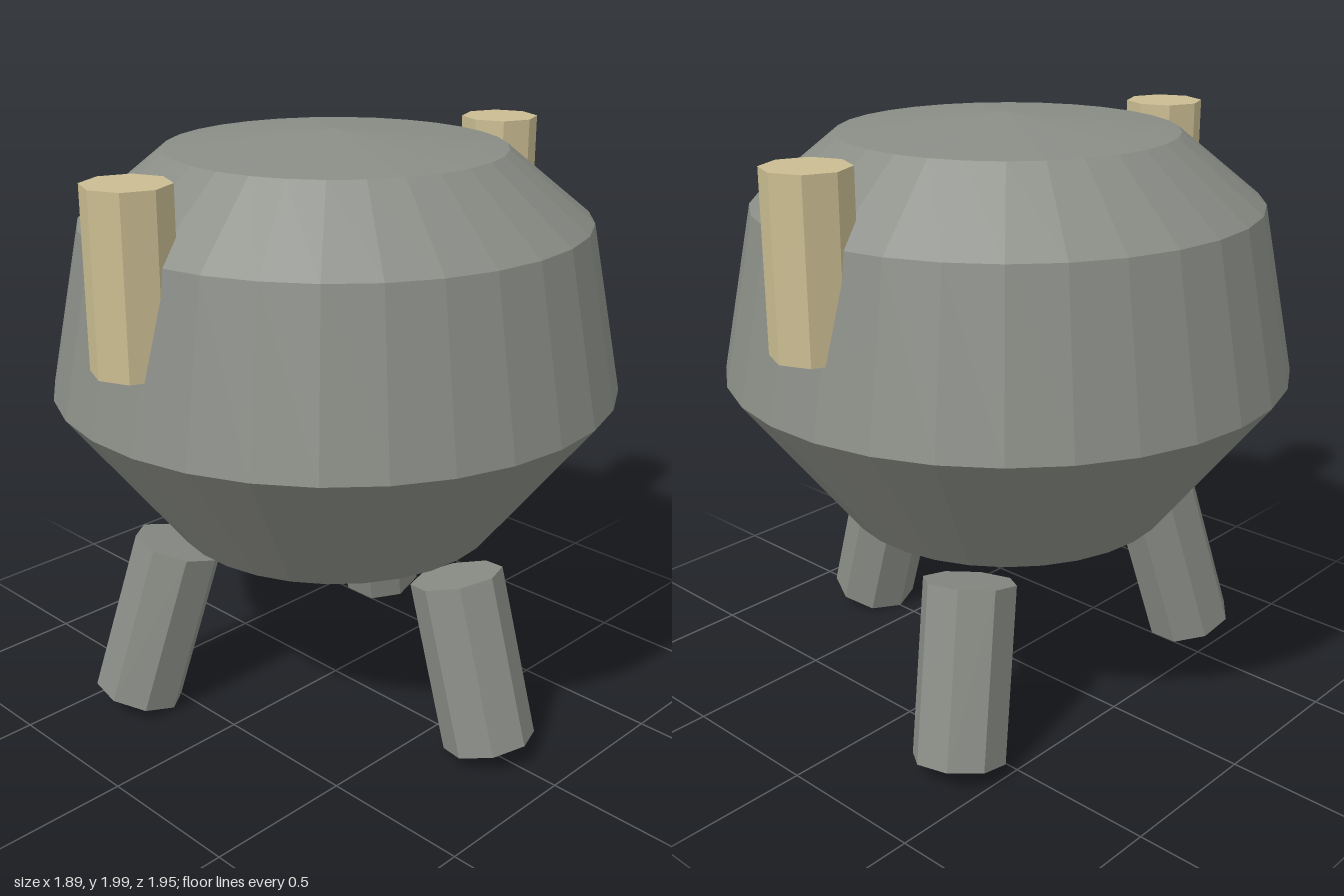
import * as THREE from 'three';

export function createModel() {
  const model = new THREE.Group();
  const grey = new THREE.MeshStandardMaterial({ color: 0x8a8d86, flatShading: true });
  const tan = new THREE.MeshStandardMaterial({ color: 0xcbbd92, flatShading: true });

  // Faceted body: shallow cones at both ends, widest just above the middle
  const profile = [[0, 0.5], [0.56, 0.66], [0.947, 1.165], [0.836, 1.72], [0.557, 1.947], [0, 2]]
    .map(([r, y]) => new THREE.Vector2(r, y));
  const body = new THREE.Mesh(new THREE.LatheGeometry(profile, 30, Math.PI / 2), grey);
  body.name = 'body';
  model.add(body);

  // Octagonal posts set into the front and back of the body
  const postGeometry = new THREE.CylinderGeometry(0.135, 0.135, 0.557, 8);
  for (const side of [1, -1]) {
    const post = new THREE.Mesh(postGeometry, tan);
    post.name = side > 0 ? 'frontPost' : 'backPost';
    post.position.set(0, 1.668, side * 0.838);
    model.add(post);
  }

  // Three splayed octagonal legs, the first towards +x
  const legGeometry = new THREE.CylinderGeometry(0.154, 0.154, 0.58, 8);
  ['leftLeg', 'backRightLeg', 'frontRightLeg'].forEach((name, i) => {
    const pivot = new THREE.Group();
    pivot.name = name;
    pivot.rotation.y = i * Math.PI * 2 / 3;
    const leg = new THREE.Mesh(legGeometry, grey);
    leg.name = name + 'Post';
    leg.position.set(0.642, 0.327, 0);
    leg.rotation.z = 0.287;
    pivot.add(leg);
    model.add(pivot);
  });

  return model;
}
